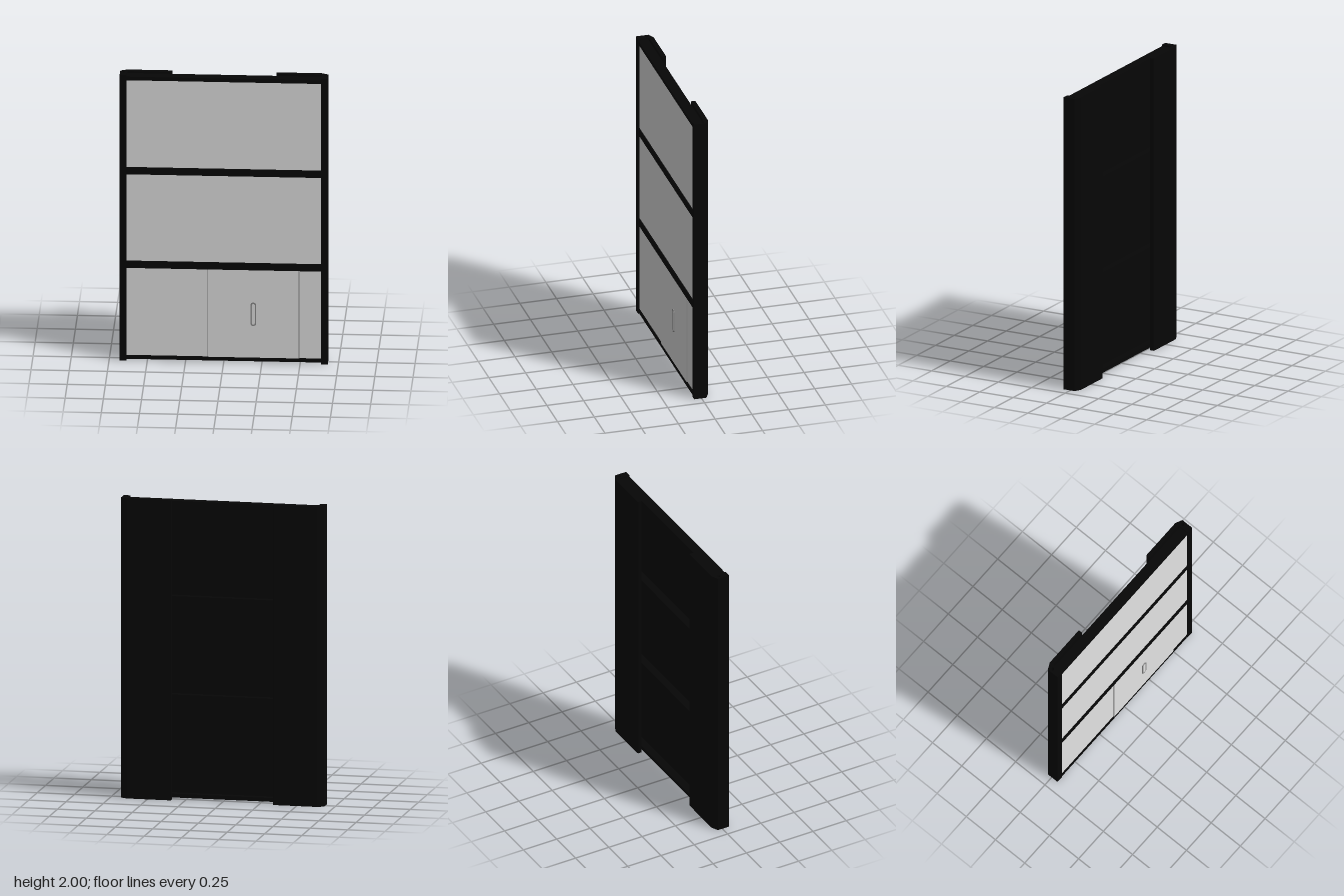
import * as THREE from 'three';

export function createModel() {
  const group = new THREE.Group();
  const black = new THREE.MeshStandardMaterial({ color: 0x060606 });
  black.name = 'black metal';
  const grey = new THREE.MeshStandardMaterial({ color: 0xe4e4e4 });
  grey.name = 'light grey panel';
  const seam = new THREE.MeshStandardMaterial({ color: 0x8c8c8c });
  seam.name = 'mid grey seam';

  // Box given by its minimum and maximum corners
  const box = (name, mat, x0, x1, y0, y1, z0, z1) => {
    const m = new THREE.Mesh(new THREE.BoxGeometry(x1 - x0, y1 - y0, z1 - z0), mat);
    m.position.set((x0 + x1) / 2, (y0 + y1) / 2, (z0 + z1) / 2);
    m.name = name;
    group.add(m);
  };

  // Side posts: one folded profile with a bolt hole and a rear flange, full height
  for (const s of [1, -1]) {
    const pts = [
      [0.636, 0.05], [0.681, 0.05], [0.681, -0.033], [0.636, -0.055],
      [0.345, -0.055], [0.341, -0.051], [0.341, -0.029], [0.345, -0.025],
      [0.63, -0.025], [0.636, -0.02],
    ].map(([x, z]) => new THREE.Vector2(s * x, -z));
    const shape = new THREE.Shape(pts);
    const hole = new THREE.Path();
    hole.absarc(s * 0.658, 0.012, 0.01, 0, Math.PI * 2, s > 0);
    shape.holes.push(hole);
    const geo = new THREE.ExtrudeGeometry(shape, { depth: 2, bevelEnabled: false, curveSegments: 10 });
    geo.rotateX(-Math.PI / 2);
    const post = new THREE.Mesh(geo, black);
    post.name = s > 0 ? 'leftPost' : 'rightPost';
    group.add(post);
  }

  // Horizontal rails
  const rails = [[0.013, 0.038], [0.65, 0.699], [1.306, 1.355], [1.965, 1.99]];
  for (const [y0, y1] of rails) box('rail', black, -0.636, 0.636, y0, y1, -0.018, 0.05);

  // Thin infill panels: grey face with a black back, set near the front of the rails
  for (let i = 0; i < 3; i++) {
    const y0 = rails[i][1], y1 = rails[i + 1][0];
    box('panelFace', grey, -0.636, 0.636, y0, y1, 0.038, 0.042);
    box('panelBack', black, -0.636, 0.636, y0, y1, 0.034, 0.038);
  }

  // Door in the lowest bay, with a seam on each side
  box('door', grey, -0.103, 0.491, 0.038, 0.65, 0.042, 0.049);
  for (const x of [-0.105, 0.493]) box('doorSeam', seam, x - 0.002, x + 0.002, 0.038, 0.65, 0.042, 0.049);

  // Upright capsule outline used by the handle
  const capsule = (Type, r, half) => {
    const p = new Type();
    p.absarc(0, half, r, 0, Math.PI, false);
    p.absarc(0, -half, r, Math.PI, Math.PI * 2, false);
    p.closePath();
    return p;
  };
  const handle = (name, mat, r, inner, depth) => {
    const shape = capsule(THREE.Shape, r, 0.063);
    if (inner) shape.holes.push(capsule(THREE.Path, inner, 0.063));
    const m = new THREE.Mesh(
      new THREE.ExtrudeGeometry(shape, { depth, bevelEnabled: false, curveSegments: 12 }), mat);
    m.position.set(0.194, 0.343, 0.049);
    m.name = name;
    group.add(m);
  };
  handle('handleRim', seam, 0.019, 0.01, 0.005);
  handle('handleGrip', grey, 0.01, 0, 0.004);

  return group;
}
